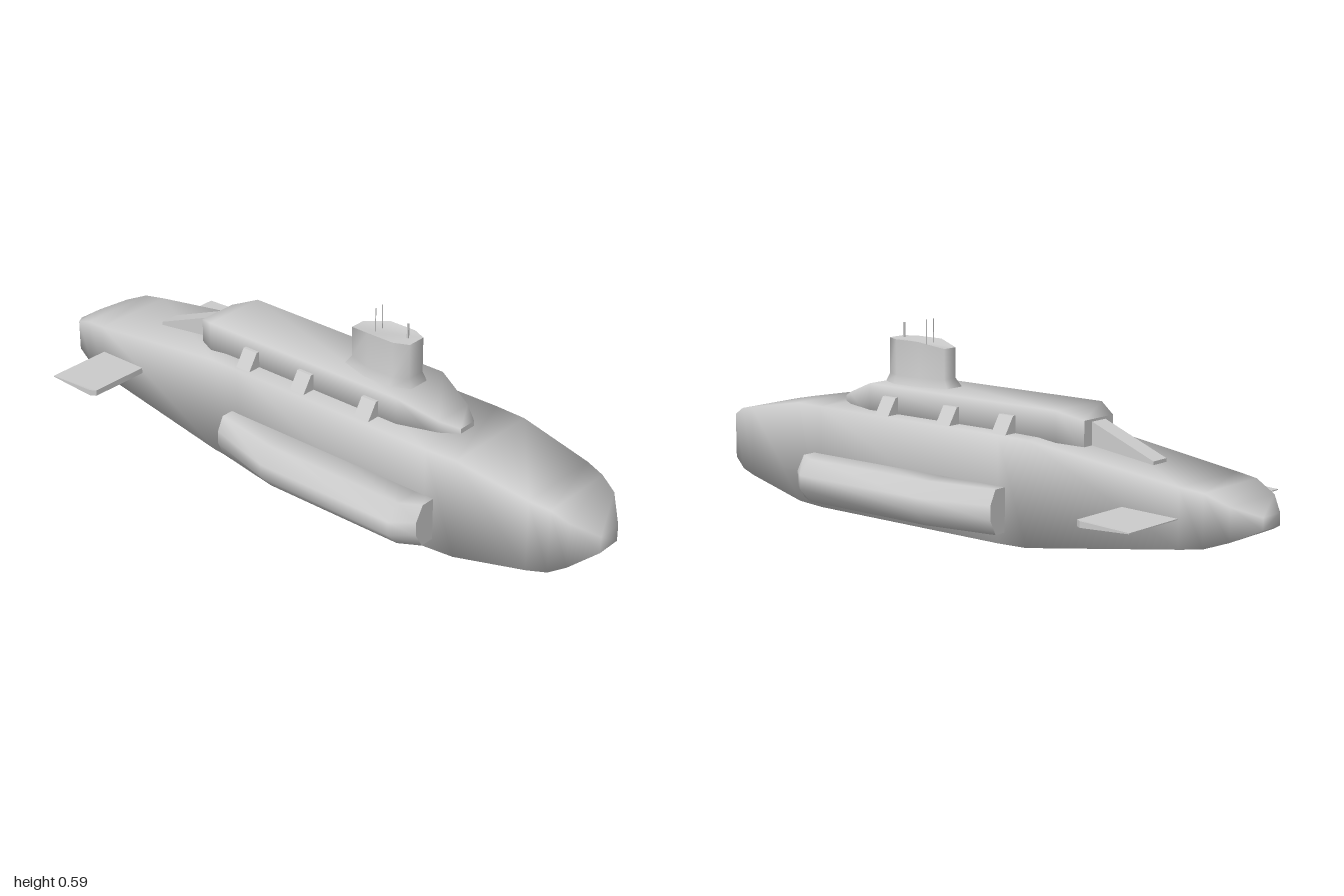
import * as THREE from 'three';

const material = new THREE.MeshStandardMaterial({ color: 0xcccccc, side: THREE.DoubleSide });

// Skin a stack of equal-length loops; each loop runs counterclockwise as seen from the last one.
// sharpCaps gives the end faces their own normals, flat facets the whole skin.
function loft(name, loops, { sharpCaps = true, flat = false } = {}) {
  const n = loops[0].length, last = loops.length - 1;
  const points = loops.flat();
  const index = [];
  for (let i = 0; i < last; i++) {
    for (let j = 0; j < n; j++) {
      const a = i * n + j, b = i * n + (j + 1) % n;
      index.push(a, b, b + n, a, b + n, a + n);
    }
  }
  let back = 0, front = last * n;
  if (sharpCaps) {
    back = points.length;
    front = back + n;
    points.push(...loops[0], ...loops[last]);
  }
  for (let j = 1; j < n - 1; j++) {
    index.push(back, back + j + 1, back + j, front, front + j, front + j + 1);
  }
  let geometry = new THREE.BufferGeometry();
  geometry.setAttribute('position', new THREE.Float32BufferAttribute(points.flat(), 3));
  geometry.setIndex(index);
  if (flat) geometry = geometry.toNonIndexed();
  geometry.computeVertexNormals();
  const mesh = new THREE.Mesh(geometry, material);
  mesh.name = name;
  return mesh;
}

// Rectangular cross-section at a station: z, half width, bottom, top
const rect = ([z, w, y0, y1]) => [[w, y0, z], [w, y1, z], [-w, y1, z], [-w, y0, z]];

// Mirror loops to the other side, keeping their winding
const mirror = (loops) => loops.map((l) => l.map(([x, y, z]) => [-x, y, z]).reverse());

function addPair(group, name, loops, options) {
  group.add(loft('left' + name, loops, options), loft('right' + name, mirror(loops), options));
}

// Symmetric plan outline at height y, from half outline points [x, z] listed front to back
function plan(half, y) {
  const at = (z) => (typeof y === 'function' ? y(z) : y);
  return [
    ...half.map(([x, z]) => [x, at(z), z]),
    ...half.slice().reverse().map(([x, z]) => [-x, at(z), z]),
  ];
}

export function createModel() {
  const group = new THREE.Group();
  group.name = 'submarine';

  // Main hull, softly shaded and tapering to blunt ends
  const hull = [
    [-1, 0.04, 0.14, 0.175], [-0.94, 0.105, 0.11, 0.205], [-0.87, 0.125, 0.085, 0.235],
    [-0.8, 0.135, 0.075, 0.243], [-0.3, 0.157, 0.002, 0.308], [-0.2, 0.161, 0, 0.31],
    [0.5, 0.161, 0, 0.31], [0.6, 0.156, 0.004, 0.31], [0.83, 0.136, 0.05, 0.267],
    [0.89, 0.121, 0.061, 0.255], [0.94, 0.105, 0.09, 0.228], [1, 0.04, 0.13, 0.18],
  ];
  group.add(loft('hull', hull.map(rect), { sharpCaps: false }));

  // Raised deck casing
  const deck = [
    [-0.43, 0.065, 0.27, 0.365], [-0.36, 0.104, 0.27, 0.39], [0.35, 0.104, 0.28, 0.39],
    [0.47, 0.065, 0.28, 0.345], [0.52, 0.03, 0.28, 0.325],
  ];
  group.add(loft('deckCasing', deck.map(rect)));

  // Sloping fairing behind the deck
  const ramp = [[-0.64, 0.03, 0.24, 0.274], [-0.42, 0.03, 0.24, 0.362]];
  group.add(loft('rearFairing', ramp.map(rect), { flat: true }));

  // Conning tower with a flared foot
  const foot = [[0.035, 0.35], [0.065, 0.29], [0.065, 0.2], [0.034, 0.1]];
  const wall = [[0.03, 0.335], [0.05, 0.29], [0.05, 0.2], [0.025, 0.122]];
  const roof = (z) => (z < 0.15 ? 0.506 : 0.522);
  group.add(loft('conningTower', [plan(foot, 0.385), plan(wall, 0.415), plan(wall, roof)]));

  // Masts
  const addMast = (name, x, z, top, width, depth) => {
    const mast = new THREE.Mesh(new THREE.BoxGeometry(width, top - 0.5, depth), material);
    mast.name = name;
    mast.position.set(x, (top + 0.5) / 2, z);
    group.add(mast);
  };
  addMast('frontMast', 0, 0.304, 0.567, 0.005, 0.005);
  addMast('leftMast', 0.015, 0.2, 0.586, 0.003, 0.001);
  addMast('rightMast', -0.015, 0.2, 0.586, 0.003, 0.001);

  // Side pods: z, outer reach, shoulder reach
  const pod = [[-0.225, 0.222, 0.2], [0, 0.282, 0.24], [0.47, 0.282, 0.24], [0.53, 0.232, 0.205]]
    .map(([z, out, shoulder]) => [
      [0.1, 0.035, z], [shoulder, 0.035, z], [out, 0.08, z],
      [out, 0.122, z], [shoulder, 0.165, z], [0.1, 0.165, z],
    ]);
  addPair(group, 'Pod', pod);

  // Wedge-shaped brackets along the deck sides
  for (const z of [0.26, 0.02, -0.19]) {
    const bracket = [z - 0.026, z + 0.026].map((d) => [
      [0.09, 0.29, d], [0.16, 0.29, d], [0.114, 0.36, d], [0.09, 0.36, d],
    ]);
    addPair(group, 'Bracket', bracket, { flat: true });
  }

  // Tail planes, thick at the leading edge; loops step outward along x
  const plane = [[0.08, -0.62], [0.336, -0.62], [0.347, -0.637]].map(([x, lead]) => [
    [x, 0.147, lead], [x, 0.155, -0.797], [x, 0.158, -0.797], [x, 0.165, lead],
  ]);
  addPair(group, 'TailPlane', plane, { flat: true });

  return group;
}
